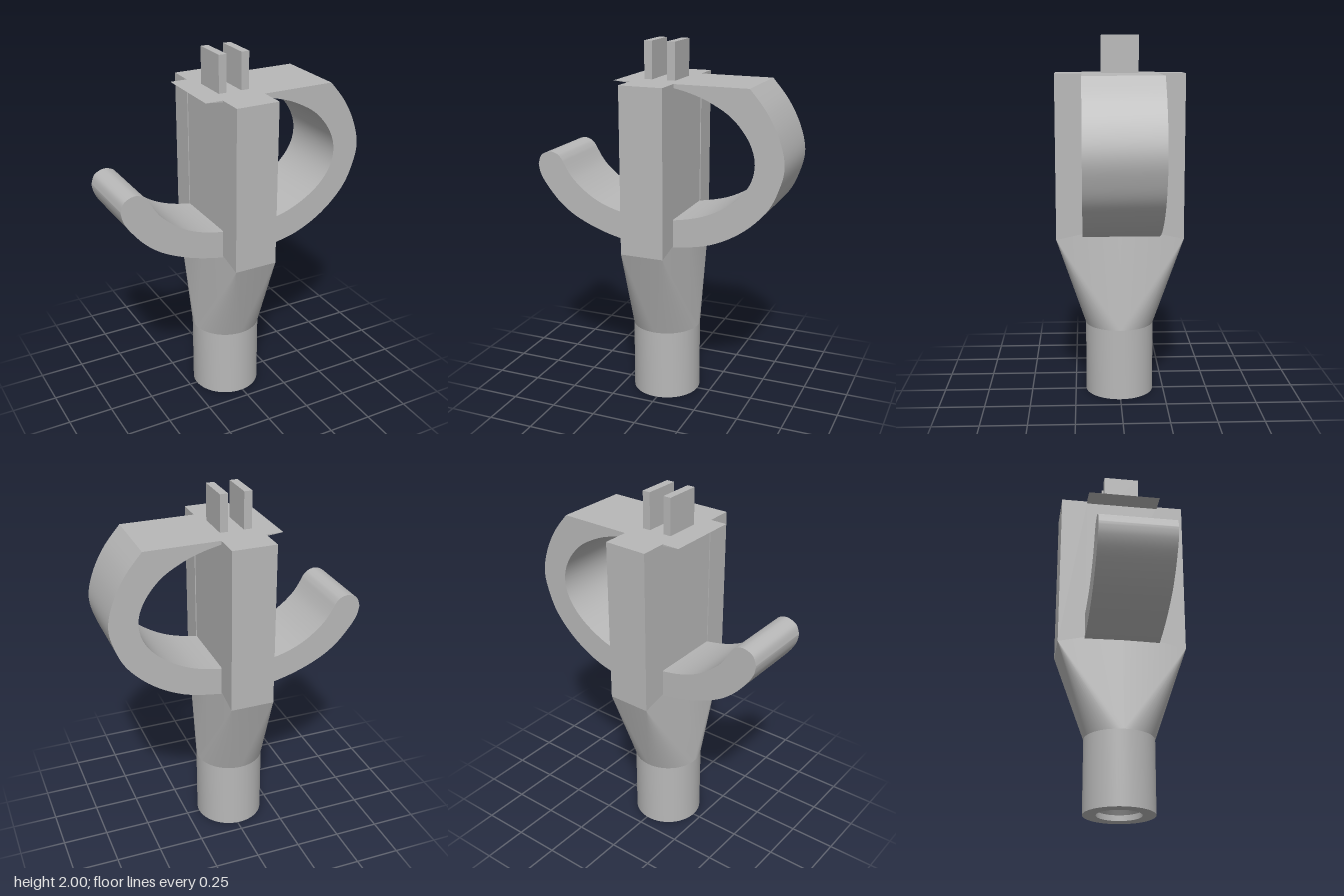
import * as THREE from 'three';
import { toCreasedNormals } from 'three/addons/utils/BufferGeometryUtils.js';
import { ConvexGeometry } from 'three/addons/geometries/ConvexGeometry.js';

const V2 = (p) => new THREE.Vector2(p[0], p[1]);

export function createModel() {
  const model = new THREE.Group();
  const grey = new THREE.MeshStandardMaterial({ color: 0xb8b8b8 });
  grey.name = 'plain grey';
  const axisX = -0.015; // the post stands slightly left of the hook's middle

  const add = (name, geometry, x = 0, y = 0, z = 0) => {
    const mesh = new THREE.Mesh(geometry, grey);
    mesh.name = name;
    mesh.position.set(x, y, z);
    model.add(mesh);
  };

  // Round socket with a threaded bore open at the bottom
  const profile = [[0, 0.38], [0.1, 0.38]];
  for (let y = 0.36; y > 0.05; y -= 0.04) profile.push([0.12, y], [0.1, y - 0.02]);
  profile.push([0.12, 0.03], [0.12, 0], [0.19, 0], [0.19, 0.4]);
  add('socket', toCreasedNormals(new THREE.LatheGeometry(profile.map(V2), 64), 0.5), axisX);

  // Transition from the round socket to the rectangular post
  const hull = [];
  for (let i = 0; i < 64; i++) {
    const a = (i / 64) * Math.PI * 2;
    hull.push(new THREE.Vector3(0.19 * Math.sin(a), 0.4, 0.19 * Math.cos(a)));
  }
  for (const sx of [-1, 1]) {
    hull.push(new THREE.Vector3(sx * 0.12, 0.98, 0));
    for (const sz of [-1, 1]) hull.push(new THREE.Vector3(sx * 0.12, 0.9, sz * 0.35));
  }
  add('transition', toCreasedNormals(new ConvexGeometry(hull), 0.3), axisX);

  // Post: a core between two slightly wider columns
  add('postCore', new THREE.BoxGeometry(0.23, 0.9, 0.41), axisX, 1.35, 0);
  for (const s of [-1, 1]) {
    add(s > 0 ? 'frontColumn' : 'backColumn',
      new THREE.BoxGeometry(0.24, 0.9, 0.147), axisX, 1.35, s * 0.2765);
  }

  // Two prongs on top
  for (const s of [-1, 1]) {
    add(s > 0 ? 'leftProng' : 'rightProng',
      new THREE.BoxGeometry(0.044, 0.2, 0.2), axisX + s * 0.065, 1.9, 0);
  }

  // Curved hook: flat top, outer curve, rounded tip, inner curve
  const hook = new THREE.Shape();
  hook.moveTo(-0.23, 1.8);
  hook.lineTo(-0.135, 1.791);
  hook.lineTo(0.105, 1.78);
  hook.splineThru([
    [0.2, 1.757], [0.3, 1.72], [0.42, 1.648], [0.51, 1.54], [0.546, 1.425],
    [0.52, 1.31], [0.43, 1.205], [0.28, 1.12], [0.105, 1.077], [-0.015, 1.07],
    [-0.135, 1.077], [-0.27, 1.107], [-0.385, 1.16], [-0.493, 1.25], [-0.557, 1.35],
  ].map(V2));
  hook.splineThru([[-0.583, 1.375], [-0.63, 1.386], [-0.683, 1.362], [-0.703, 1.31]].map(V2));
  hook.splineThru([
    [-0.69, 1.255], [-0.65, 1.19], [-0.57, 1.1], [-0.467, 1.028], [-0.31, 0.964],
    [-0.135, 0.924], [-0.015, 0.916], [0.105, 0.924], [0.31, 0.964], [0.483, 1.053],
    [0.615, 1.18], [0.678, 1.31], [0.7, 1.43], [0.667, 1.563], [0.6, 1.69], [0.51, 1.8],
  ].map(V2));
  hook.lineTo(-0.23, 1.8);
  const hookGeometry = new THREE.ExtrudeGeometry(hook,
    { depth: 0.41, bevelEnabled: false, curveSegments: 5 });
  add('hook', toCreasedNormals(hookGeometry, 0.5), 0, 0, -0.205);

  return model;
}
